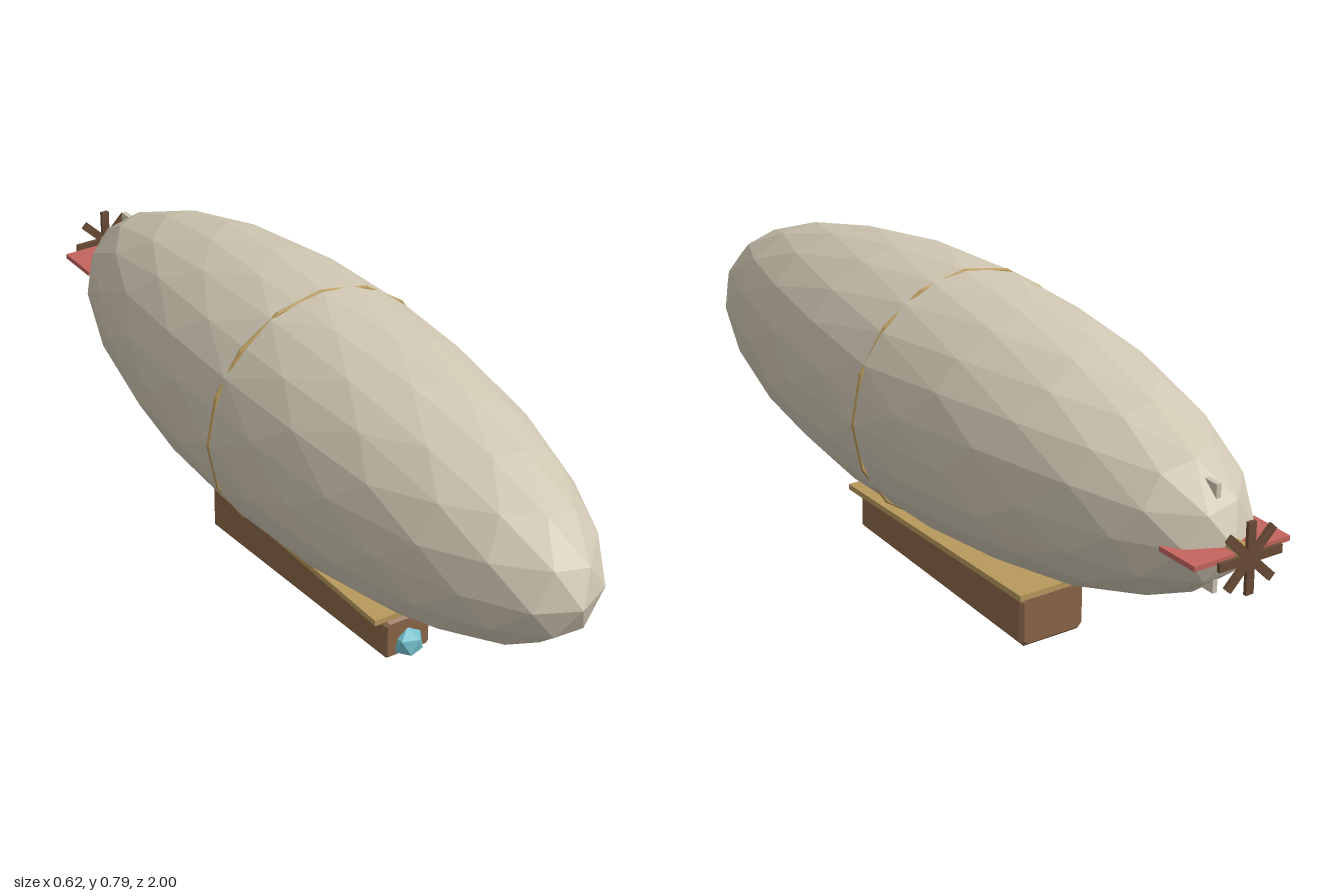
import * as THREE from 'three';

const mat = (name, color) => {
  const m = new THREE.MeshStandardMaterial({ color });
  m.name = name;
  m.flatShading = true;
  return m;
};

// Icosphere with a vertex at the top; each level halves every edge
function icosphere(levels) {
  let g = new THREE.IcosahedronGeometry(1, 0);
  g.rotateX(-Math.atan((1 + Math.sqrt(5)) / 2));
  g.rotateY(Math.PI / 2);
  for (let i = 0; i < levels; i++) {
    const p = Array.from(g.attributes.position.array);
    g = new THREE.PolyhedronGeometry(p, p.slice(0, p.length / 3).map((_, k) => k), 1, 1);
  }
  return g;
}

// Bevelled cabin hull that narrows towards the front
function hullGeometry() {
  const w = 0.08, h = 0.056, c = 0.008, bevel = 0.009;
  const zBack = -0.33, zFront = 0.385, yMid = 0.068;
  const shape = new THREE.Shape([
    [-w + c, -h], [w - c, -h], [w, -h + c], [w, h - c],
    [w - c, h], [-w + c, h], [-w, h - c], [-w, -h + c],
  ].map(([x, y]) => new THREE.Vector2(x, y)));
  const g = new THREE.ExtrudeGeometry(shape, {
    depth: zFront - zBack - 2 * bevel, bevelEnabled: true,
    bevelSize: bevel, bevelThickness: bevel, bevelSegments: 1,
  });
  g.translate(0, 0, zBack + bevel);
  const p = g.attributes.position;
  for (let i = 0; i < p.count; i++) {
    const t = (p.getZ(i) - zBack) / (zFront - zBack);
    p.setXYZ(i, p.getX(i) * (1 - 0.3 * t), yMid + p.getY(i) * (1 - 0.22 * t), p.getZ(i));
  }
  g.computeVertexNormals();
  return g;
}

export function createModel() {
  const canvas = mat('canvas', 0xcfc6b2);
  const wood = mat('wood', 0x8a6648);
  const darkWood = mat('dark wood', 0x6b4c36);
  const brass = mat('brass', 0xb8995c);
  const red = mat('red', 0xc4645e);
  const glass = mat('glass', 0x74c0cc);

  const model = new THREE.Group();
  model.name = 'airship';
  const axisY = 0.485;
  const add = (name, geometry, material, x, y, z, parent = model) => {
    const mesh = new THREE.Mesh(geometry, material);
    mesh.name = name;
    mesh.position.set(x, y, z);
    parent.add(mesh);
    return mesh;
  };

  // Gas envelope and the hoop round its middle
  const envelope = icosphere(2);
  envelope.scale(0.305, 0.305, 0.975);
  envelope.computeVertexNormals();
  add('envelope', envelope, canvas, 0, axisY, 0.025);
  add('hoop', new THREE.TorusGeometry(0.303, 0.006, 6, 16), brass, 0, axisY, 0.025);

  // Cabin with its roof, struts and front lamp
  add('cabin', hullGeometry(), wood, 0, 0, 0);
  add('cabinRoof', new THREE.BoxGeometry(0.186, 0.014, 0.72), brass, 0, 0.133, 0.028);
  for (const z of [0.28, -0.23]) {
    add('strut', new THREE.CylinderGeometry(0.004, 0.004, 0.11, 6), darkWood, 0, 0.18, z);
  }
  const lamp = icosphere(0);
  lamp.scale(0.04, 0.04, 0.04);
  lamp.computeVertexNormals();
  add('lamp', lamp, glass, 0, 0.048, 0.382);

  // Tail fins
  add('tailplane', new THREE.BoxGeometry(0.252, 0.012, 0.115), red, 0, axisY, -0.915);
  add('rudder', new THREE.BoxGeometry(0.012, 0.25, 0.09), canvas, 0, axisY, -0.845);

  // Propeller: hub and four crossed bars
  const propeller = new THREE.Group();
  propeller.name = 'propeller';
  propeller.position.set(0, axisY, -0.995);
  model.add(propeller);
  const hub = new THREE.CylinderGeometry(0.022, 0.022, 0.08, 8);
  hub.rotateX(Math.PI / 2);
  add('hub', hub, brass, 0, 0, 0.04, propeller);
  for (let i = 0; i < 4; i++) {
    const blade = add('blade', new THREE.BoxGeometry(0.02, 0.165, 0.009), darkWood, 0, 0, 0, propeller);
    blade.rotation.z = i * Math.PI / 4;
  }

  return model;
}
